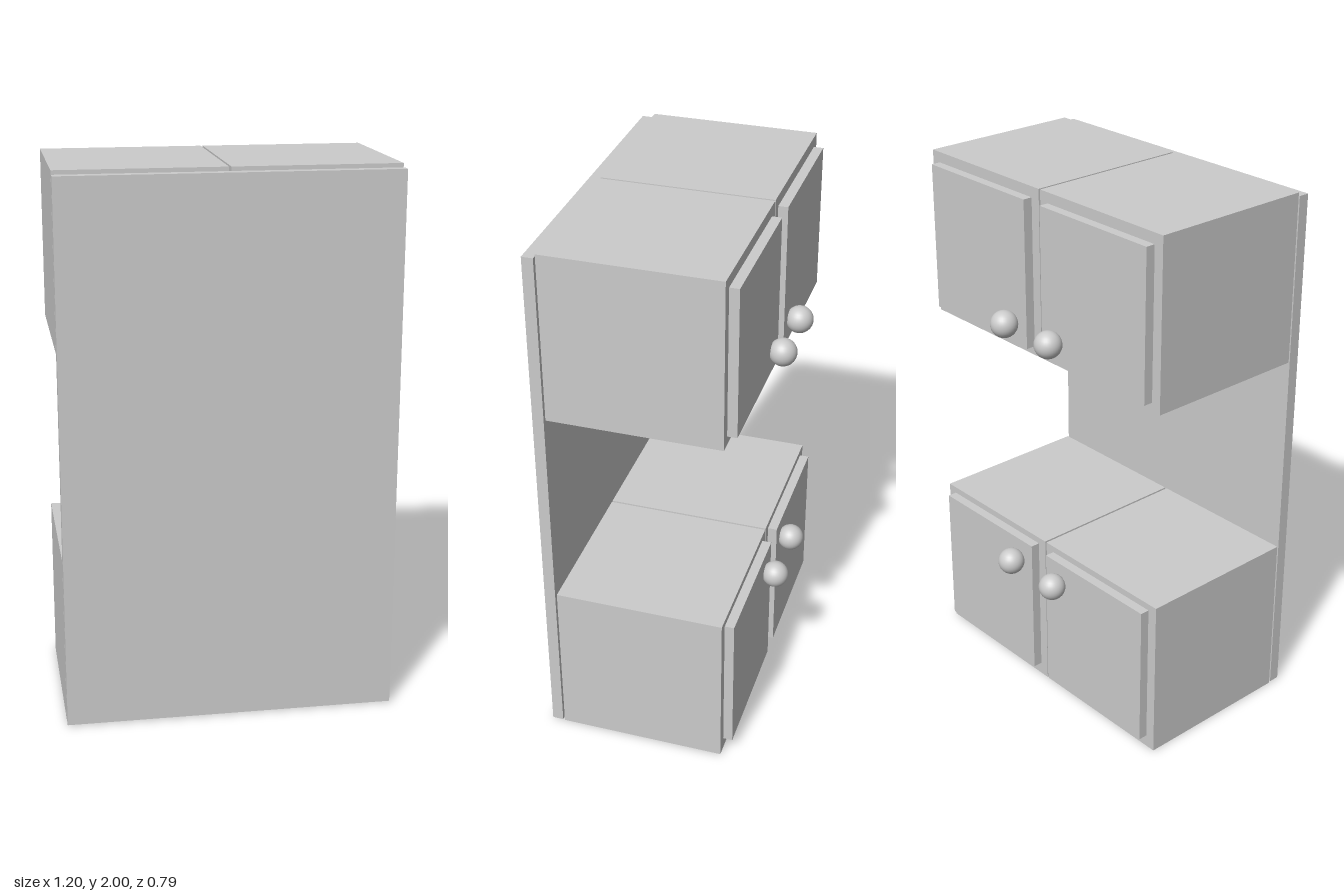
import * as THREE from 'three';

const material = new THREE.MeshStandardMaterial({ color: 0xcccccc });

// Box given by its minimum and maximum on each axis
function box(name, [x0, x1], [y0, y1], [z0, z1]) {
  const mesh = new THREE.Mesh(new THREE.BoxGeometry(x1 - x0, y1 - y0, z1 - z0), material);
  mesh.position.set((x0 + x1) / 2, (y0 + y1) / 2, (z0 + z1) / 2);
  mesh.name = name;
  return mesh;
}

// One cupboard: carcass, raised door and round knob
function createCabinet(name, side, bottom, doorBottom, knobY) {
  const cabinet = new THREE.Group();
  cabinet.name = name;
  const centre = side * 0.302 - 0.001;

  cabinet.add(box('carcass', [centre - 0.298, centre + 0.298], [bottom, bottom + 0.622], [-0.274, 0.349]));
  cabinet.add(box('door', [centre - 0.26, centre + 0.26], [doorBottom, doorBottom + 0.55], [-0.309, -0.274]));

  const knob = new THREE.Mesh(new THREE.SphereGeometry(0.05, 32, 16), material);
  knob.name = 'knob';
  knob.position.set(side * 0.12 - 0.001, knobY, -0.347);
  cabinet.add(knob);
  return cabinet;
}

export function createModel() {
  const model = new THREE.Group();
  model.name = 'kitchenCabinets';

  // Tall panel joining the two rows
  model.add(box('wallPanel', [-0.601, 0.601], [0.004, 1.986], [0.355, 0.396]));

  // Lower and upper rows, two cupboards each
  for (const [label, side] of [['Left', 1], ['Right', -1]]) {
    model.add(createCabinet('lowerCabinet' + label, side, 0, 0.047, 0.514));
    model.add(createCabinet('upperCabinet' + label, side, 1.378, 1.411, 1.493));
  }
  return model;
}
